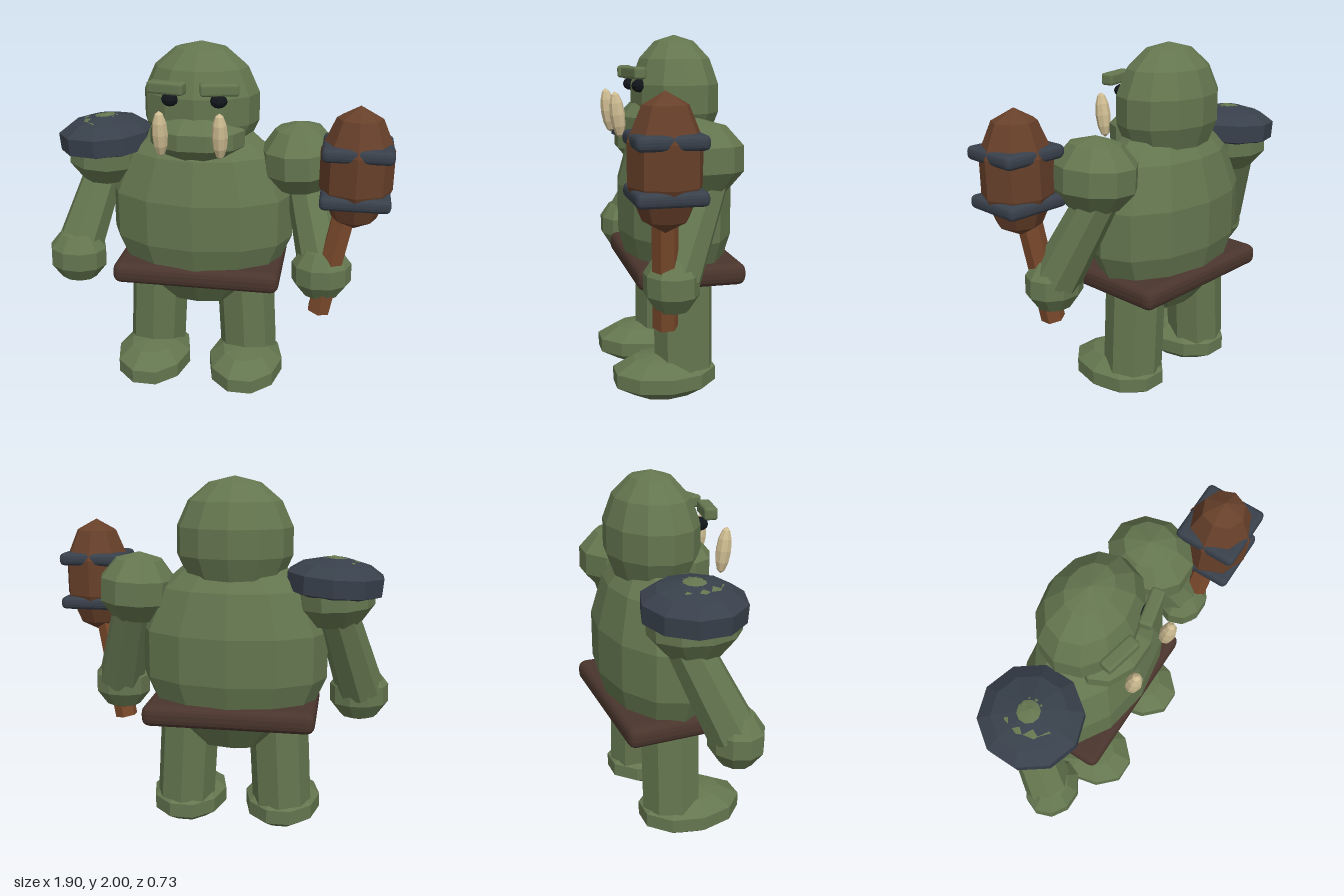
import * as THREE from 'three';
import { RoundedBoxGeometry } from 'three/addons/geometries/RoundedBoxGeometry.js';

const MID = -0.093; // the body's own centre line; the club pushes it off x = 0

const mat = (color) => new THREE.MeshStandardMaterial({ color, flatShading: true });

export function createModel() {
  const root = new THREE.Group();
  const skin = mat(0x64764f), iron = mat(0x38404b), leather = mat(0x4a352d);
  const wood = mat(0x67402a), handleWood = mat(0x7c4a2c), ivory = mat(0xcfbd92), black = mat(0x12161b);

  const add = (name, geometry, material, [x, y, z], parent = root) => {
    const mesh = new THREE.Mesh(geometry, material);
    mesh.name = name;
    mesh.position.set(x, y, z);
    parent.add(mesh);
    return mesh;
  };

  // Faceted ellipsoid
  const blob = (name, material, pos, [rx, ry, rz], sides = 10, rows = 5) =>
    add(name, new THREE.SphereGeometry(1, sides, rows).scale(rx, ry, rz), material, pos);

  // Tapered prism between two points
  const limb = (name, material, from, to, r0, r1, sides = 8) => {
    const a = new THREE.Vector3(...from), b = new THREE.Vector3(...to);
    const dir = b.clone().sub(a);
    const mesh = add(name, new THREE.CylinderGeometry(r1, r0, dir.length(), sides), material,
      a.clone().add(b).multiplyScalar(0.5).toArray());
    mesh.quaternion.setFromUnitVectors(new THREE.Vector3(0, 1, 0), dir.normalize());
    return mesh;
  };

  // Box with softened edges
  const slab = (name, material, pos, [w, h, d], r) =>
    add(name, new RoundedBoxGeometry(w, h, d, 2, r), material, pos);

  // Trunk and head
  blob('torso', skin, [MID, 1.045, -0.05], [0.53, 0.58, 0.322], 12, 7);
  slab('belt', leather, [MID, 0.732, -0.058], [0.94, 0.12, 0.6], 0.045);
  blob('head', skin, [MID, 1.66, -0.06], [0.325, 0.34, 0.252], 12, 7);
  blob('jaw', skin, [MID, 1.518, 0.085], [0.27, 0.14, 0.175]);

  // Paired parts, s = +1 on the model's left
  for (const [side, s] of [['left', 1], ['right', -1]]) {
    const X = (d) => MID + s * d;

    // Face
    blob(side + 'Eye', black, [X(0.128), 1.73, 0.16], [0.047, 0.036, 0.045], 8, 6);
    const brow = slab(side + 'Brow', skin, [X(0.138), 1.8, 0.195], [0.2, 0.064, 0.07], 0.014);
    brow.rotation.y = s * 0.22;
    const tusk = blob(side + 'Tusk', ivory, [X(0.155), 1.58, 0.288], [0.042, 0.125, 0.042], 8, 6);
    tusk.rotation.x = 0.12;

    // Arm
    const shoulder = blob(side + 'Shoulder', skin, [X(0.545), 1.385, -0.05], [0.222, 0.205, 0.25]);
    shoulder.rotation.z = s * 0.06;
    limb(side + 'Arm', skin, [X(0.7), 0.82, 0.1], [X(0.565), 1.28, -0.1], 0.135, 0.11);
    const hand = blob(side + 'Hand', skin, [X(0.697), 0.79, 0.12], [0.172, 0.165, 0.148]);
    hand.rotation.z = s * 0.03;

    // Leg and foot
    limb(side + 'Leg', skin, [X(0.28), 0.18, -0.052], [X(0.25), 0.72, -0.052], 0.167, 0.167);
    blob(side + 'Foot', skin, [X(0.277), 0.132, 0.06], [0.227, 0.128, 0.31]);
  }

  // Armour ring on the right shoulder, its centre open
  const ring = [[0.05, 1.5], [0.19, 1.375], [0.262, 1.4], [0.265, 1.495], [0.19, 1.545], [0.06, 1.578], [0.05, 1.5]];
  const pad = add('shoulderPad',
    new THREE.LatheGeometry(ring.map(([r, y]) => new THREE.Vector2(r, y - 1.47)), 10),
    iron, [-0.637, 1.47, -0.055]);
  pad.rotation.z = 0.06;
  blob('padTop', skin, [-0.615, 1.56, -0.055], [0.065, 0.026, 0.075], 8, 4);

  // Club with two iron bands, held in the left hand
  limb('clubHandle', handleWood, [0.6, 0.565, 0.15], [0.715, 1.2, 0.18], 0.066, 0.066, 6);
  blob('clubHead', wood, [0.757, 1.415, 0.187], [0.198, 0.33, 0.19], 8, 5);
  for (const y of [1.27, 1.523]) {
    slab('clubBand', iron, [0.757, y, 0.187], [0.36, 0.072, 0.342], 0.028);
  }

  return root;
}
